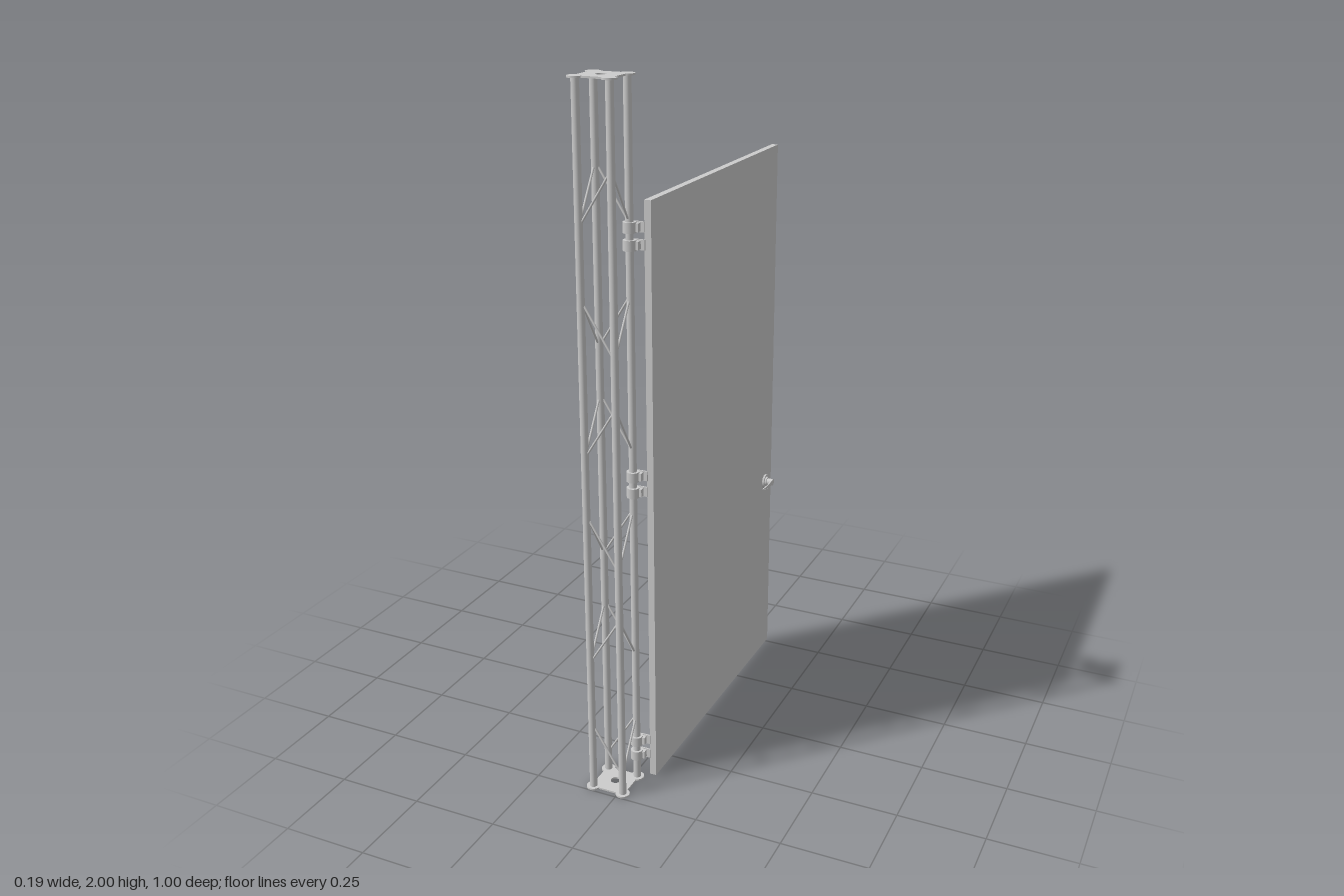
import * as THREE from 'three';

const material = new THREE.MeshStandardMaterial({ color: 0xcccccc });

function add(parent, name, geometry, x = 0, y = 0, z = 0) {
  const mesh = new THREE.Mesh(geometry, material);
  mesh.name = name;
  mesh.position.set(x, y, z);
  parent.add(mesh);
  return mesh;
}

// Round bar between two points
function bar(parent, name, a, b, radius, sides) {
  const dir = b.clone().sub(a);
  const mesh = add(parent, name, new THREE.CylinderGeometry(radius, radius, dir.length(), sides));
  mesh.position.copy(a).add(b).multiplyScalar(0.5);
  mesh.quaternion.setFromUnitVectors(new THREE.Vector3(0, 1, 0), dir.normalize());
}

const HALF = 0.0465; // post spacing from the truss axis
const PLATE = 0.005;
const CORNERS = [[1, 1], [-1, 1], [-1, -1], [1, -1]];

// Square plate with round lobes at the corners and a centre hole
function endPlateGeometry() {
  const r = 0.02, edge = 0.052;
  const a = Math.acos((edge - HALF) / r);
  const shape = new THREE.Shape();
  CORNERS.forEach(([sx, sy], i) => {
    const turn = i * Math.PI / 2;
    shape.absarc(sx * HALF, sy * HALF, r, turn - a, turn + Math.PI / 2 + a, false);
  });
  shape.closePath();
  shape.holes.push(new THREE.Path().absarc(0, 0, 0.014, 0, Math.PI * 2, true));
  return new THREE.ExtrudeGeometry(shape, { depth: PLATE, bevelEnabled: false, curveSegments: 20 })
    .rotateX(-Math.PI / 2);
}

function createTruss() {
  const truss = new THREE.Group();
  truss.name = 'truss';
  const plate = endPlateGeometry();
  add(truss, 'bottomPlate', plate);
  add(truss, 'topPlate', plate, 0, 2 - PLATE, 0);
  const post = new THREE.CylinderGeometry(0.0105, 0.0105, 2 - 2 * PLATE, 24);
  for (const [sx, sz] of CORNERS) add(truss, 'post', post, sx * HALF, 1, sz * HALF);

  // One diagonal per side, alternating direction from level to level
  [0.135, 0.48, 0.775, 1.09, 1.37, 1.705].forEach((y, level) => {
    const flip = level % 2 ? -1 : 1;
    CORNERS.forEach((c, i) => {
      const d = CORNERS[(i + 1) % 4];
      const end = (p, q) => new THREE.Vector3(
        p[0] * HALF + (q[0] - p[0]) * 0.0045,
        y - flip * p[0] * p[1] * 0.06,
        p[1] * HALF + (q[1] - p[1]) * 0.0045);
      bar(truss, 'brace', end(c, d), end(d, c), 0.003, 10);
    });
  });
  return truss;
}

// Pair of clamps around the post, each with a leaf reaching the door edge
function createHinge() {
  const hinge = new THREE.Group();
  hinge.name = 'hinge';
  for (const y of [-0.023, 0.023]) {
    add(hinge, 'clamp', new THREE.CylinderGeometry(0.0175, 0.0175, 0.028, 24), 0, y, 0);
    add(hinge, 'clampLug', new THREE.BoxGeometry(0.013, 0.022, 0.016), 0.018, y, -0.007);
    add(hinge, 'leaf', new THREE.BoxGeometry(0.028, 0.028, 0.004), 0.0215, y, -0.0155);
  }
  return hinge;
}

// Rose, spindle hub and thin tapered lever, pointing outward along +x
function createHandle(side) {
  const handle = new THREE.Group();
  handle.name = side > 0 ? 'leftHandle' : 'rightHandle';
  const disc = (name, r0, r1, from, to) => {
    const geo = new THREE.CylinderGeometry(r1, r0, to - from, 24).rotateZ(-Math.PI / 2);
    add(handle, name, geo, side * (from + to) / 2).scale.x = 1;
    if (side < 0) handle.children.at(-1).rotation.y = Math.PI;
  };
  disc('rose', 0.023, 0.021, 0.009, 0.015);
  disc('collar', 0.015, 0.014, 0.015, 0.02);
  disc('hub', 0.0105, 0.0105, 0.02, 0.038);

  const lever = new THREE.Shape();
  lever.moveTo(0, 0.009);
  lever.quadraticCurveTo(0.03, 0.006, 0.07, 0.006);
  lever.quadraticCurveTo(0.074, 0.003, 0.07, 0);
  lever.quadraticCurveTo(0.03, -0.003, 0, -0.009);
  lever.closePath();
  const geo = new THREE.ExtrudeGeometry(lever, { depth: 0.0035, bevelEnabled: false, curveSegments: 10 })
    .rotateY(-Math.PI / 2);
  // Curl the tip slightly toward the door
  const p = geo.attributes.position;
  for (let i = 0; i < p.count; i++) {
    const t = Math.max(0, (p.getZ(i) - 0.06) / 0.012);
    p.setX(i, p.getX(i) - side * 0.003 * t * t);
  }
  geo.computeVertexNormals();
  add(handle, 'lever', geo, side > 0 ? 0.038 : -0.0345, 0, 0);
  return handle;
}

export function createModel() {
  const model = new THREE.Group();
  model.name = 'doorOnTruss';

  const truss = createTruss();
  truss.position.set(-0.0328, 0, 0.4335);
  model.add(truss);

  const door = new THREE.Group();
  door.name = 'door';
  door.position.x = 0.0565;
  add(door, 'doorPanel', new THREE.BoxGeometry(0.019, 1.68, 0.87), 0, 0.85, -0.065);
  for (const side of [1, -1]) {
    const handle = createHandle(side);
    handle.position.set(0, 0.615, -0.446);
    door.add(handle);
  }
  model.add(door);

  for (const y of [0.103, 0.922, 1.598]) {
    const hinge = createHinge();
    hinge.position.set(0.0137, y, 0.387);
    model.add(hinge);
  }
  return model;
}
